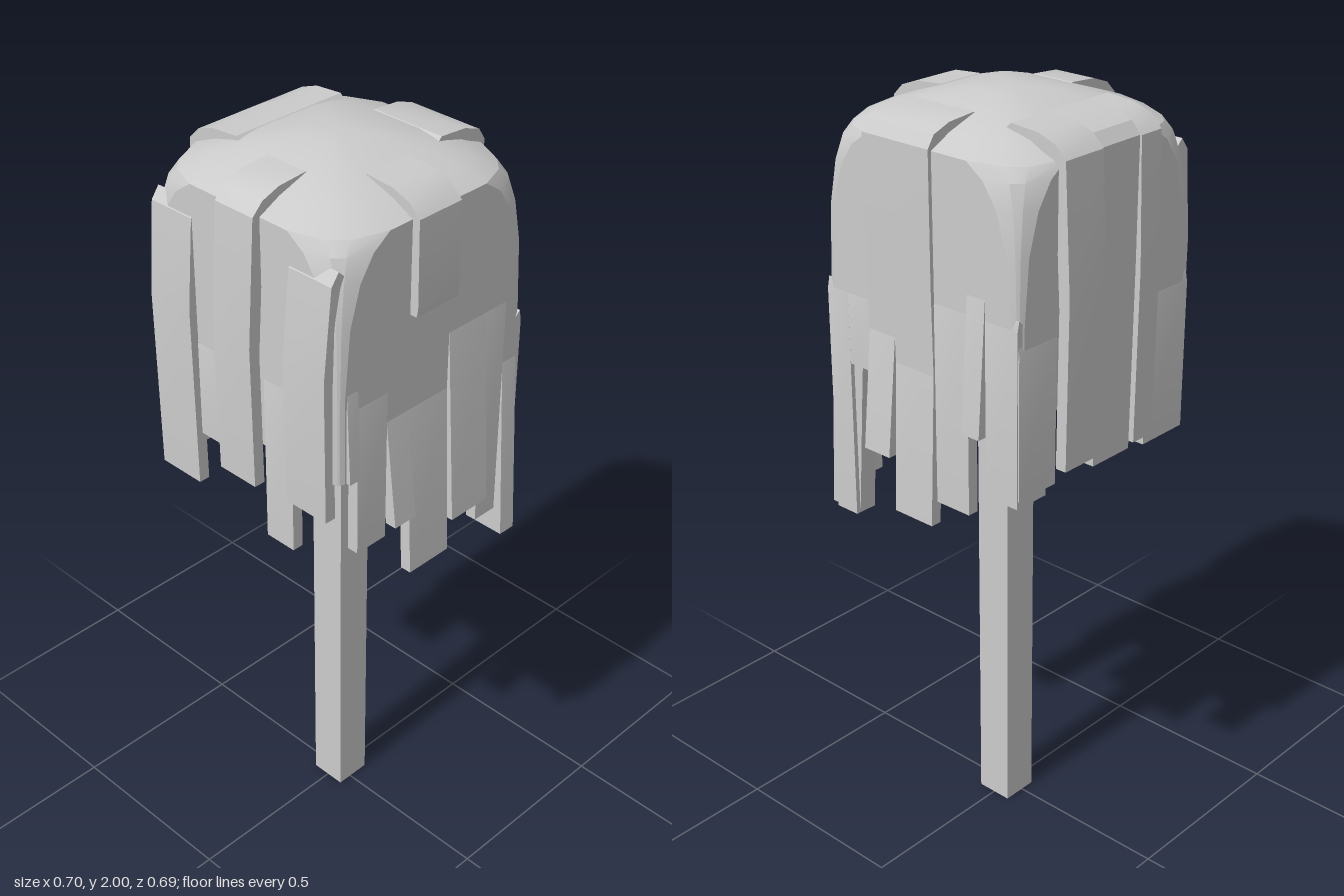
import * as THREE from 'three';
import { toCreasedNormals } from 'three/addons/utils/BufferGeometryUtils.js';

const mat = new THREE.MeshStandardMaterial({ color: 0xcccccc, side: THREE.DoubleSide });

// Square ring of half-width h with corners cut back by c along a shallow arc
function ring(h, c, y, dip = 0) {
  const corner = [[h, h - c, 0], [h - c * 0.23, h - c * 0.46, dip], [h - c * 0.46, h - c * 0.23, dip], [h - c, h, 0]];
  const pts = [];
  for (let k = 0; k < 4; k++) {
    const co = [1, 0, -1, 0][k], si = [0, 1, 0, -1][k];
    for (const [a, b, d] of corner) pts.push([a * co - b * si, y - d, a * si + b * co]);
  }
  return pts;
}

// Rounded head: rings lofted from the open bottom to the crown
function headGeometry() {
  const H = 0.31;
  const rings = [
    ring(H, 0.02, 1.32), ring(H, 0.02, 1.55), ring(H, 0.035, 1.72), ring(H, 0.065, 1.82),
    ring(H, 0.105, 1.88), ring(H, 0.155, 1.915, 0.005),
    ring(0.25, 0.12, 1.945), ring(0.17, 0.08, 1.972), ring(0.08, 0.04, 1.993), ring(0.0005, 0.0002, 2),
  ];
  const n = rings[0].length, index = [];
  for (let r = 0; r < rings.length - 1; r++) {
    for (let i = 0; i < n; i++) {
      const a = r * n + i, b = r * n + (i + 1) % n;
      index.push(a, a + n, b, b, a + n, b + n);
    }
  }
  const g = new THREE.BufferGeometry();
  g.setAttribute('position', new THREE.Float32BufferAttribute(rings.flat(2), 3));
  g.setIndex(index);
  return toCreasedNormals(g, 0.35);
}

// Side of the head: turn about y, and sign between the strip's run and the world axis
const SIDES = {
  left: { turn: 0, sign: 1 },
  front: { turn: -Math.PI / 2, sign: -1 },
  right: { turn: Math.PI, sign: -1 },
  back: { turn: Math.PI / 2, sign: 1 },
};

// Hanging strip: an (outward, y) profile thickened inward and extruded along the side
function strip(side, from, to, profile, thick) {
  const { turn, sign } = SIDES[side];
  const inner = profile.map(([o, y], i) => [o - thick, i === profile.length - 1 ? y : y - thick]).reverse();
  const shape = new THREE.Shape([...profile, ...inner].map(([o, y]) => new THREE.Vector2(o, y)));
  const g = new THREE.ExtrudeGeometry(shape, { depth: to - from, bevelEnabled: false });
  g.translate(0, 0, sign > 0 ? from : -to);
  g.rotateY(turn);
  const mesh = new THREE.Mesh(toCreasedNormals(g, 0.5), mat);
  mesh.name = side + 'Strip';
  return mesh;
}

// Strips that leave the head low down: [side, from, to, outward, bottom, start of flare, thickness]
const LOW = [
  ['front', -0.285, -0.25, 0.322, 1.32, 1.55],
  ['front', -0.25, -0.155, 0.312, 1.10, 1.5],
  ['front', -0.155, -0.085, 0.345, 1.14, 1.42],
  ['front', -0.085, 0.05, 0.333, 0.96, 1.42],
  ['front', 0.05, 0.178, 0.345, 1.055, 1.57],
  ['front', 0.178, 0.25, 0.312, 0.97, 1.57],
  ['front', 0.25, 0.30, 0.34, 0.90, 1.4, 0.1],
  ['left', 0.24, 0.31, 0.312, 0.90, 1.5],
  ['left', 0.16, 0.24, 0.311, 1.32, 1.5],
  ['left', 0.075, 0.16, 0.349, 1.13, 1.5],
  ['left', -0.05, 0.075, 0.333, 0.98, 1.5],
  ['left', -0.155, -0.05, 0.312, 1.04, 1.55],
  ['left', -0.21, -0.155, 0.335, 1.265, 1.6],
  ['left', -0.308, -0.21, 0.311, 1.11, 1.55, 0.1],
  ['right', -0.155, -0.05, 0.312, 1.25, 1.5],
  ['right', 0.07, 0.16, 0.312, 1.06, 1.5],
  ['back', -0.308, -0.155, 0.311, 1.11, 1.5],
  ['back', 0.18, 0.308, 0.311, 1.13, 1.5],
];

// Strips draped over the top edge: [side, from, to, outward, bottom]
const DRAPED = [
  ['front', -0.085, 0.05, 0.333, 1.68],
  ['left', -0.05, 0.16, 0.32, 1.35],
  ['right', -0.29, -0.155, 0.332, 1.11],
  ['right', -0.05, 0.07, 0.352, 1.22],
  ['right', 0.16, 0.29, 0.336, 1.22],
  ['back', -0.155, -0.083, 0.34, 1.15],
  ['back', -0.083, 0.052, 0.325, 1.13],
  ['back', 0.052, 0.18, 0.347, 1.17],
];

export function createModel() {
  const model = new THREE.Group();

  const pole = new THREE.Mesh(new THREE.BoxGeometry(0.1, 1.9, 0.1), mat);
  pole.position.set(0.01, 0.95, 0);
  pole.name = 'pole';
  model.add(pole);

  const head = new THREE.Mesh(headGeometry(), mat);
  head.name = 'head';
  model.add(head);

  const strips = new THREE.Group();
  strips.name = 'strips';
  for (const [side, from, to, out, bottom, start, thick = 0.03] of LOW) {
    strips.add(strip(side, from, to, [[0.305, start + 0.03], [0.311, start], [out, bottom]], thick));
  }
  for (const [side, from, to, out, bottom] of DRAPED) {
    // Those near a corner start on the edge, the rest on the crown
    const edge = Math.max(Math.abs(from), Math.abs(to)) > 0.25;
    const top = edge
      ? [[0.29, 1.86], [0.312, 1.83]]
      : [[0.17, 1.974], [0.25, 1.968], [0.3, 1.95], [Math.min(out, 0.33), 1.92]];
    strips.add(strip(side, from, to, [...top, [out, Math.max(1.6, bottom + 0.02)], [out - 0.004, bottom]], 0.03));
  }
  model.add(strips);
  return model;
}
